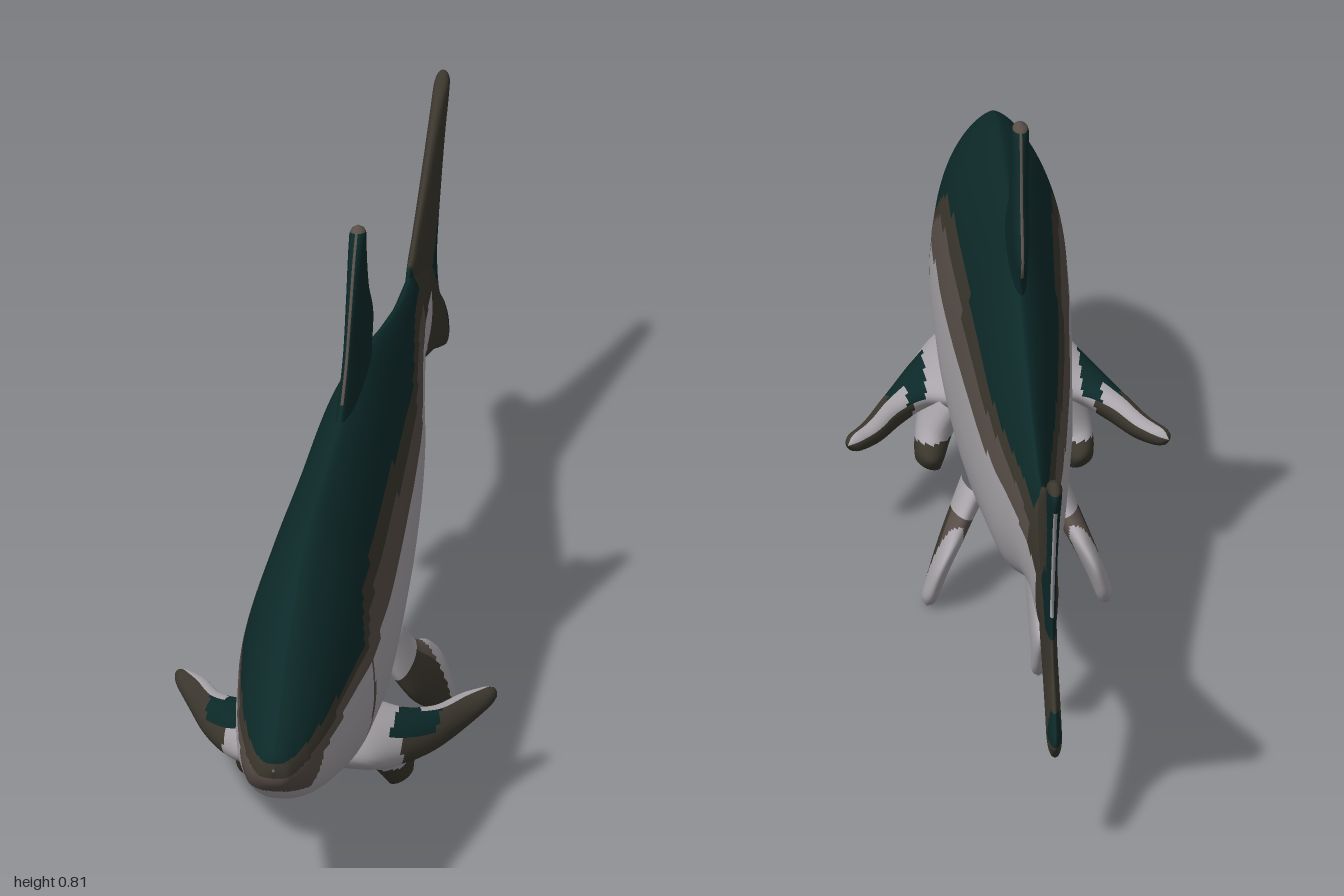
import * as THREE from 'three';

const V = (x, y, z) => new THREE.Vector3(x, y, z);
const TEAL = 0, OLIVE = 1, BROWN = 2, GREY = 3;

// piecewise linear lookup; points run from high key to low key
function lookup(points, k) {
  if (k >= points[0][0]) return points[0][1];
  for (let i = 1; i < points.length; i++) {
    const [k0, v0] = points[i - 1], [k1, v1] = points[i];
    if (k >= k1) return v0 + (v1 - v0) * (k0 - k) / (k0 - k1);
  }
  return points[points.length - 1][1];
}

// closed tube of cross-sections; faces are sorted into one group per colour
function loft(nu, nv, pointAt, colourAt) {
  const pos = [], lists = [[], [], [], []];
  const at = (i, j) => pointAt(i / nu * Math.PI * 2, j / nv);
  for (let j = 0; j <= nv; j++) for (let i = 0; i < nu; i++) pos.push(...at(i, j).toArray());
  for (let j = 0; j < nv; j++) for (let i = 0; i < nu; i++) {
    const n = (i + 1) % nu;
    const a = j * nu + i, b = j * nu + n, c = a + nu, d = b + nu;
    const u = (i + 0.5) / nu * Math.PI * 2, v = (j + 0.5) / nv;
    lists[colourAt(pointAt(u, v), u, v)].push(a, c, b, b, c, d);
  }
  const g = new THREE.BufferGeometry();
  g.setAttribute('position', new THREE.Float32BufferAttribute(pos, 3));
  g.setIndex(lists.flat());
  let start = 0;
  lists.forEach((l, m) => {
    if (l.length) g.addGroup(start, l.length, m);
    start += l.length;
  });
  g.computeVertexNormals();
  return g;
}

// fin between a leading and a trailing edge, root first, rounded at the tip
function blade(lead, trail, thick, colourAt, { side = 1, bothEnds = false, nu = 40, nv = 40 } = {}) {
  const curve = pts => new THREE.CatmullRomCurve3(pts.map(p => V(p[0] * side, p[1], p[2])));
  const L = curve(lead), T = curve(trail);
  const mid = v => L.getPoint(v).add(T.getPoint(v)).multiplyScalar(0.5);
  const span = mid(1).sub(mid(0));
  const cap = v => {
    const e = Math.max(0, (v - 0.92) / 0.08, bothEnds ? (0.08 - v) / 0.08 : 0);
    return Math.sqrt(Math.max(0, 1 - e * e));
  };
  return loft(nu, nv, (u, v) => {
    const chord = T.getPoint(v).sub(L.getPoint(v));
    const normal = chord.clone().cross(span).normalize();
    const t = thick[0] + (thick[1] - thick[0]) * v;
    return mid(v).addScaledVector(chord, 0.5 * Math.cos(u) * cap(v))
      .addScaledVector(normal, t * Math.sin(u) * cap(v));
  }, colourAt);
}

// lower limits of the back, upper flank and lower flank bands along z
const BACK = [[1, .345], [.9, .37], [.8, .385], [.65, .40], [.62, .43], [.58, .455], [.3, .475], [0, .465], [-.3, .435], [-.6, .425]];
const UPPER = [[1, .32], [.9, .35], [.8, .37], [.65, .38], [.58, .42], [.4, .435], [0, .425], [-.5, .405], [-.7, .395]];
const LOWER = [[1, .295], [.93, .28], [.9, .33], [.8, .35], [.65, .36], [0, .37], [-.7, .37]];
function skin({ x, y, z }) {
  if (z < -.6 && (z < -.72 || y > .37 || y < .27)) return OLIVE;
  if (y > lookup(BACK, z)) return TEAL;
  if (y > lookup(UPPER, z)) return OLIVE;
  if (y > lookup(LOWER, z)) return BROWN;
  // gill line
  if (y > .2 && Math.abs(z - .61 - (y - .2) * .1) < .008 && Math.abs(x) > .04) return BROWN;
  return GREY;
}

// tail fin: dark centre patch running up the rear edge, pale upper rim
function tailSkin(p, u) {
  const { y, z } = p, c = Math.cos(u);
  if (z > -.72) return skin(p);
  if (y > .36 && y < .58 && c > .965) return GREY;
  if (y > .33 && y < .43 && z < -.77 - Math.abs(y - .38) * 1.4) return TEAL;
  if (y >= .43 && y < .61 && z < -.865 - (y - .43) * .5) return TEAL;
  if (z < -.955 && y > .195 && y < .24) return TEAL;
  return OLIVE;
}

// body stations: z, top, bottom, half width
const STATIONS = [
  [1, .338, .332, .002], [.992, .362, .305, .024], [.95, .40, .268, .05], [.87, .46, .232, .074],
  [.74, .525, .19, .094], [.6, .56, .155, .106], [.42, .573, .122, .104], [.22, .58, .112, .095],
  [.02, .582, .14, .086], [-.15, .547, .172, .073], [-.3, .505, .195, .058], [-.4, .48, .228, .045],
  [-.5, .457, .262, .034], [-.6, .45, .278, .024], [-.72, .44, .275, .018], [-.85, .40, .31, .006],
  [-.86, .36, .355, .001],
];

function bodyGeometry() {
  const heights = new THREE.CatmullRomCurve3(STATIONS.map(s => V(s[0], s[1], s[2])));
  const widths = new THREE.CatmullRomCurve3(STATIONS.map(s => V(s[3], 0, 0)));
  return loft(120, 220, (u, v) => {
    const { x: z, y: top, z: bottom } = heights.getPoint(v);
    const w = Math.max(.001, widths.getPoint(v).x);
    const c = Math.cos(u), s = Math.sin(u);
    const centre = bottom + (top - bottom) * .37;
    const x = w * Math.sign(c) * Math.pow(Math.abs(c), s > 0 ? 1.35 : .8);
    const bend = -.01 * THREE.MathUtils.smoothstep(-z, .1, .8);
    return V(x + bend, centre + s * (s > 0 ? top - centre : centre - bottom), z);
  }, skin);
}

export function createModel() {
  const fish = new THREE.Group();
  fish.name = 'fish';
  const material = (name, color) => {
    const m = new THREE.MeshStandardMaterial({ color });
    m.name = name;
    return m;
  };
  const materials = [
    material('dark teal', 0x0d2929), material('dark olive', 0x3b372e),
    material('brown', 0x584e48), material('pale grey', 0xa8a4a9),
  ];
  const add = (name, geometry) => {
    const mesh = new THREE.Mesh(geometry, materials);
    mesh.name = name;
    fish.add(mesh);
  };

  add('body', bodyGeometry());

  // forked tail, built from the lower tip to the upper tip
  const tx = -.01;
  add('tailFin', blade(
    [[tx, .165, -.955], [tx, .21, -.85], [tx, .25, -.72], [tx, .285, -.6], [tx, .37, -.55], [tx, .45, -.58], [tx, .475, -.64], [tx, .53, -.76], [tx, .595, -.89], [tx, .627, -.965]],
    [[tx, .165, -.985], [tx, .2, -1], [tx, .235, -.975], [tx, .29, -.91], [tx, .365, -.885], [tx, .42, -.905], [tx, .47, -.93], [tx, .54, -.965], [tx, .6, -.997], [tx, .627, -.985]],
    [.012, .012], tailSkin, { bothEnds: true, nu: 96, nv: 100 }));

  add('dorsalFin', blade(
    [[-.002, .53, .3], [-.002, .585, .235], [-.003, .64, .165], [-.004, .71, .11], [-.005, .775, .06], [-.005, .815, .025]],
    [[-.002, .53, -.08], [-.002, .575, -.085], [-.003, .62, -.105], [-.004, .69, -.05], [-.005, .765, -.015], [-.005, .81, .0]],
    [.016, .013],
    (p, u, v) => (Math.abs(Math.cos(u)) > .975 && p.y > .6) || v > .96 ? BROWN : TEAL));

  add('analFin', blade(
    [[-.006, .25, -.31], [-.007, .205, -.34], [-.009, .15, -.385], [-.01, .11, -.41], [-.01, .08, -.435]],
    [[-.006, .28, -.46], [-.007, .235, -.465], [-.009, .195, -.485], [-.01, .165, -.51], [-.01, .085, -.465]],
    [.016, .011], () => GREY));

  for (const side of [1, -1]) {
    const prefix = side > 0 ? 'left' : 'right';

    add(prefix + 'PectoralFin', blade(
      [[.06, .205, .66], [.1, .187, .63], [.135, .165, .57], [.18, .145, .47], [.22, .145, .37], [.257, .158, .29]],
      [[.05, .18, .4], [.085, .18, .41], [.12, .18, .42], [.16, .175, .39], [.2, .17, .32], [.238, .165, .28]],
      [.04, .014],
      (p, u, v) => {
        const x = Math.abs(p.x), c = Math.cos(u), upper = Math.sin(u) * side < 0;
        if (x < .12) return GREY;
        if (upper && c > .45) return x > .15 ? GREY : TEAL;
        if (upper && c > -.6 && x < .18) return TEAL;
        return x < .14 ? GREY : OLIVE;
      }, { side }));

    // small lobe under the pectoral fin
    add(prefix + 'PectoralLobe', blade(
      [[.08, .17, .55], [.105, .125, .51], [.115, .09, .475], [.118, .07, .45]],
      [[.08, .17, .4], [.105, .125, .4], [.115, .095, .375], [.118, .072, .39]],
      [.035, .02], p => p.y > .115 ? GREY : OLIVE, { side, nu: 24, nv: 24 }));

    add(prefix + 'PelvicFin', blade(
      [[.06, .16, .18], [.08, .115, .165], [.1, .075, .145], [.122, .035, .09], [.14, .003, .03]],
      [[.06, .17, .07], [.08, .135, .05], [.1, .11, .0], [.118, .08, -.02], [.14, .012, -.005]],
      [.022, .012],
      (p, u, v) => v < .25 || p.z < .035 ? GREY : Math.cos(u) > .3 ? BROWN : OLIVE, { side }));
  }
  return fish;
}
